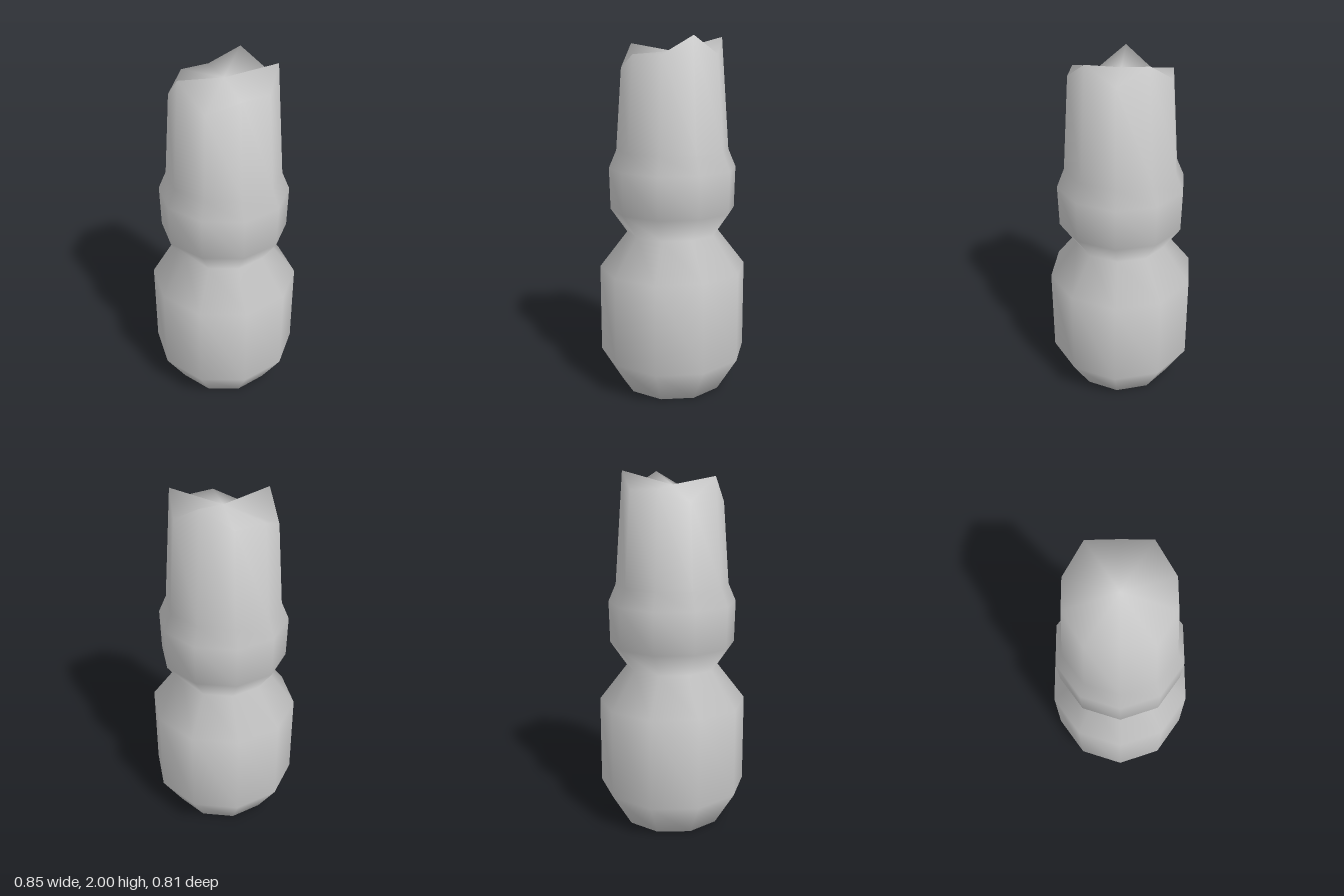
import * as THREE from 'three';

const SIDES = 10;

// One continuous ten-sided skin: rings from floor to rim, closed at both ends.
function turnedSkin(rings, bottomY, topY) {
  const pos = [], index = [];
  for (const ring of rings) {
    for (let i = 0; i < SIDES; i++) {
      const a = (i / SIDES) * Math.PI * 2;
      const [r, y] = ring(i);
      pos.push(r * Math.cos(a), y, r * Math.sin(a));
    }
  }
  const bottom = rings.length * SIDES, top = bottom + 1;
  pos.push(0, bottomY, 0, 0, topY, 0);
  const at = (j, i) => j * SIDES + (i % SIDES);
  const last = rings.length - 1;
  for (let i = 0; i < SIDES; i++) {
    for (let j = 0; j < last; j++) {
      index.push(at(j, i), at(j + 1, i), at(j + 1, i + 1));
      index.push(at(j, i), at(j + 1, i + 1), at(j, i + 1));
    }
    index.push(bottom, at(0, i), at(0, i + 1));
    index.push(top, at(last, i + 1), at(last, i));
  }
  const geo = new THREE.BufferGeometry();
  geo.setAttribute('position', new THREE.Float32BufferAttribute(pos, 3));
  geo.setIndex(index);
  geo.computeVertexNormals();
  return geo;
}

export function createModel() {
  const group = new THREE.Group();
  group.name = 'stackedColumn';

  // Wide belly, pinched waist, collar and tapering neck: radius, height
  const profile = [
    [0.303, 0], [0.424, 0.2], [0.422, 0.71], [0.263, 0.915],
    [0.356, 1.05], [0.361, 1.285], [0.318, 1.385],
  ];
  const rings = profile.map((p) => () => p);

  // Broken rim: heights from the +x corner round to the -x corner, mirrored in z
  const rimHeights = [1.905, 2.0, 1.9, 1.905, 1.835, 1.97];
  rings.push((i) => {
    const y = rimHeights[Math.min(i, SIDES - i)];
    return [0.318 - (y - 1.385) * 0.075, y];
  });

  const body = new THREE.Mesh(
    turnedSkin(rings, 0, 1.925),
    new THREE.MeshStandardMaterial({ color: 0xcccccc }),
  );
  body.name = 'bodyWithBrokenRim';
  group.add(body);
  return group;
}
